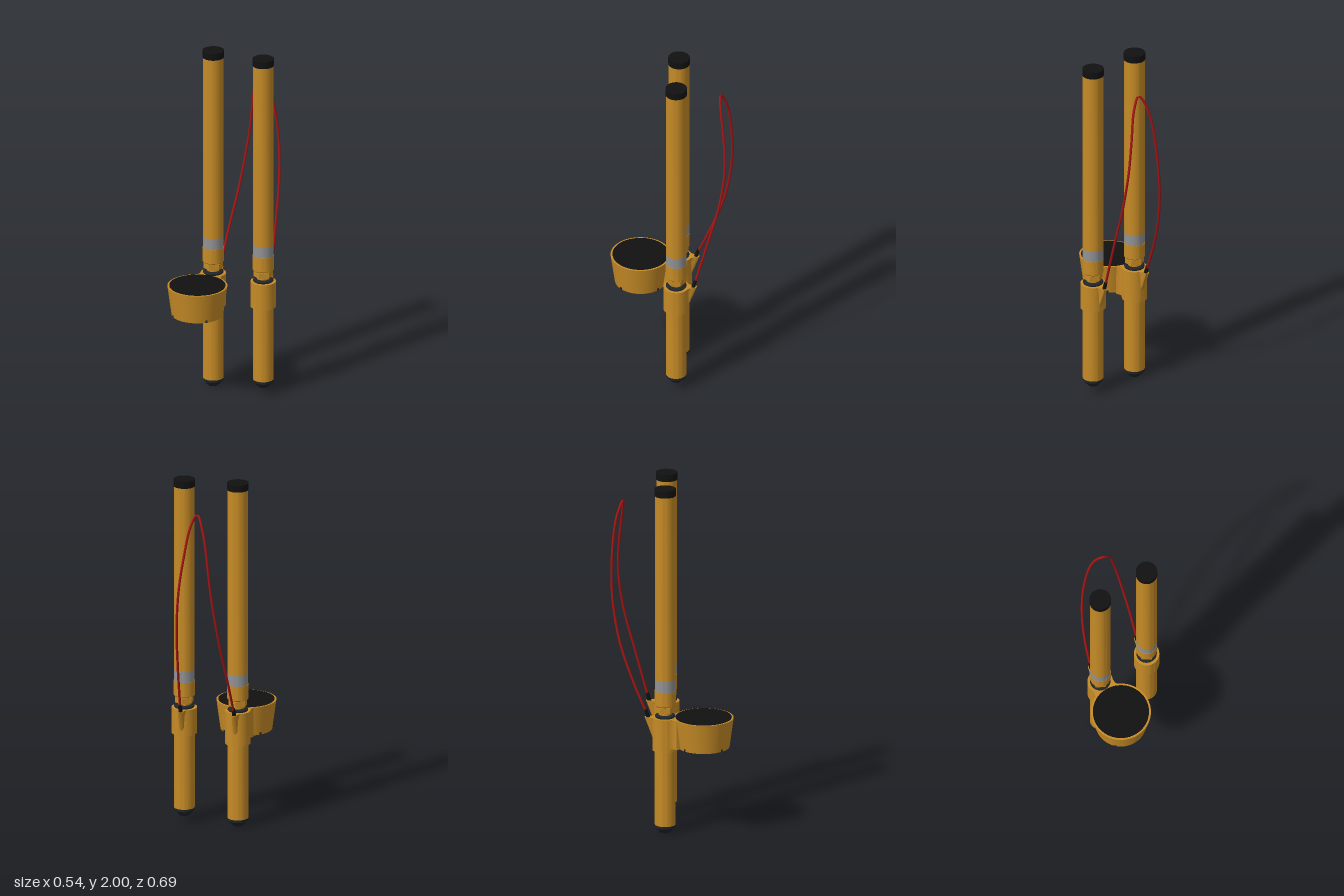
import * as THREE from 'three';
import { toCreasedNormals } from 'three/addons/utils/BufferGeometryUtils.js';

const mat = (color) => new THREE.MeshStandardMaterial({ color });
const GOLD = mat(0xc68b26), BLACK = mat(0x111111), TIP = mat(0x20252a);
const BAND = mat(0x929292), RED = mat(0xa81414);
const Z = -0.038, TOP = 0.67;

function add(parent, name, geometry, material) {
  const mesh = new THREE.Mesh(geometry, material);
  mesh.name = name;
  parent.add(mesh);
  return mesh;
}

// Revolved profile of [radius, y] points, bottom to top
function turned(points, sides = 48) {
  const g = new THREE.LatheGeometry(points.map(([r, y]) => new THREE.Vector2(r, y)), sides);
  return toCreasedNormals(g, 0.5);
}

const drum = (r, y0, y1, sides) => turned([[0, y0], [r, y0], [r, y1], [0, y1]], sides);

// Shape drawn in (x, z), raised from y0 to y1
function slab(shape, y0, y1) {
  const g = new THREE.ExtrudeGeometry(shape, { depth: y1 - y0, bevelEnabled: false, curveSegments: 16 });
  return g.rotateX(Math.PI / 2).translate(0, y1, 0);
}

// Teardrop lug behind the collar, slanting into it towards the bottom
function lugGeometry() {
  const s = new THREE.Shape();
  s.moveTo(-0.056, -0.035);
  s.bezierCurveTo(-0.03, -0.065, -0.016, -0.07, -0.015, -0.098);
  s.absarc(0, -0.1, 0.015, Math.PI, Math.PI * 2, false);
  s.bezierCurveTo(0.016, -0.07, 0.03, -0.065, 0.056, -0.035);
  s.closePath();
  const g = slab(s, 0.54, TOP);
  const p = g.attributes.position;
  for (let i = 0; i < p.count; i++) {
    const t = (TOP - p.getY(i)) / 0.13;
    p.setZ(i, p.getZ(i) + t * 0.048);
  }
  g.deleteAttribute('normal');
  return toCreasedNormals(g, 0.6);
}

function probe(name, x, base, collarBottom) {
  const g = new THREE.Group();
  g.name = name;
  g.position.set(x, 0, Z);
  add(g, 'tip', turned([[0, base + 0.008], [0.012, base + 0.008], [0.014, base], [0.028, base],
    [0.056, base + 0.03], [0.057, base + 0.045], [0, base + 0.045]]), TIP);
  add(g, 'lowerShaft', drum(0.058, base + 0.045, TOP), GOLD);
  add(g, 'collar', drum(0.071, collarBottom, TOP), GOLD);
  add(g, 'cableLug', lugGeometry(), GOLD);
  add(g, 'sealRing', turned([[0, TOP], [0.053, TOP], [0.057, 0.675], [0.057, 0.68], [0.05, 0.686], [0, 0.686]]), TIP);
  add(g, 'neck', drum(0.036, 0.685, 0.74), GOLD);
  add(g, 'hexNut', drum(0.054, 0.7, 0.733, 6), GOLD);
  add(g, 'coupling', turned([[0, 0.737], [0.055, 0.737], [0.059, 0.742], [0.059, 0.825], [0, 0.825]]), GOLD);
  add(g, 'greyBand', drum(0.0575, 0.825, 0.89), BAND);
  add(g, 'upperTube', drum(0.0575, 0.89, 1.96), GOLD);
  add(g, 'topCap', drum(0.06, 1.96, 2), BLACK);
  // Strain relief tilted backwards with the cable
  const gland = add(g, 'cableGland', new THREE.CylinderGeometry(0.009, 0.012, 0.06, 20), BLACK);
  gland.position.set(0, 0.685, -0.1);
  gland.rotation.x = -0.28;
  return g;
}

// Round tapered pod in front of one probe
function sensorPod(x) {
  const g = new THREE.Group();
  g.name = 'sensorPod';
  g.position.set(x, 0, 0.176);
  add(g, 'podBody', turned([[0, 0.512], [0.134, 0.512], [0.134, 0.5], [0.144, 0.5],
    [0.167, TOP], [0, TOP]], 72), GOLD);
  add(g, 'podLid', drum(0.156, 0.66, 0.673, 72), BLACK);
  for (let i = 0; i < 4; i++) {
    const a = Math.PI / 4 + i * Math.PI / 2;
    const notch = add(g, 'rimNotch', new THREE.BoxGeometry(0.012, 0.014, 0.014), TIP);
    notch.position.set(Math.sin(a) * 0.1395, 0.507, Math.cos(a) * 0.1395);
    notch.rotation.y = a;
  }
  return g;
}

export function createModel() {
  const model = new THREE.Group();
  model.name = 'twinProbe';
  const xr = -0.105, xl = 0.2;
  model.add(probe('rightProbe', xr, 0, 0.48), probe('leftProbe', xl, 0.04, 0.52), sensorPod(xr));

  // Waisted bridge joining collar and pod
  const s = new THREE.Shape();
  s.moveTo(-0.068, -0.02);
  s.quadraticCurveTo(-0.06, 0.01, -0.075, 0.028);
  s.lineTo(-0.06, 0.055);
  s.lineTo(0.06, 0.055);
  s.lineTo(0.075, 0.028);
  s.quadraticCurveTo(0.06, 0.01, 0.068, -0.02);
  s.closePath();
  add(model, 'podBridge', slab(s, 0.5, TOP - 0.001), GOLD).position.x = xr;

  // Looped cable between the two lugs
  const path = [[xr, 0.69, -0.141], [-0.09, 0.88, -0.22], [-0.06, 1.12, -0.298], [-0.02, 1.42, -0.338],
    [0.03, 1.775, -0.315], [0.072, 1.875, -0.277], [0.11, 1.8, -0.281], [0.145, 1.62, -0.3],
    [0.172, 1.43, -0.306], [0.19, 1.2, -0.275], [0.198, 0.95, -0.21], [xl, 0.69, -0.141]];
  const curve = new THREE.CatmullRomCurve3(path.map((p) => new THREE.Vector3(...p)));
  add(model, 'cable', new THREE.TubeGeometry(curve, 120, 0.0068, 12), RED);
  return model;
}
